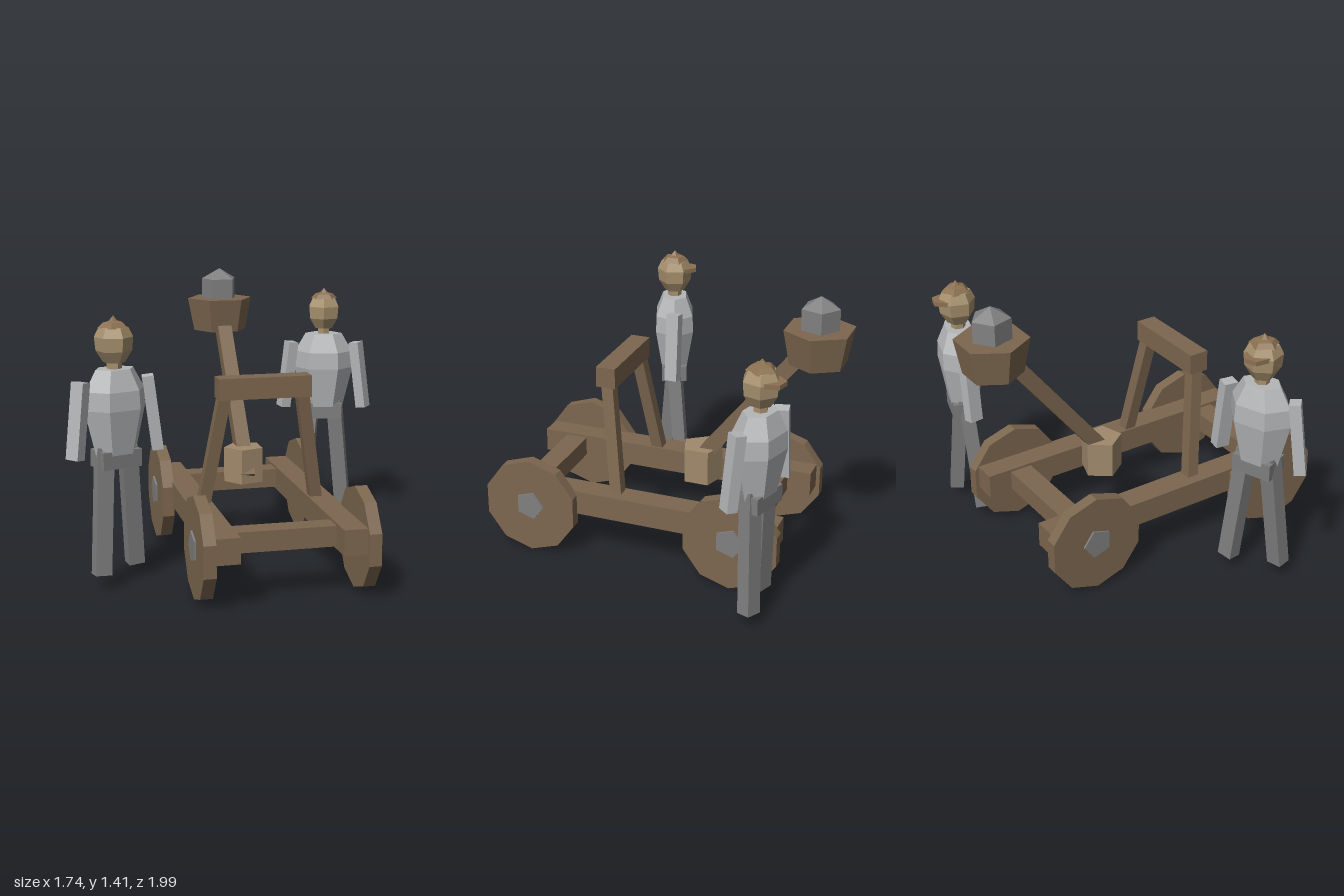
import * as THREE from 'three';

const mat = (name, color) => Object.assign(new THREE.MeshStandardMaterial({ color, flatShading: true }), { name });

export function createModel() {
  const M = {
    wood: mat('wood', 0x7d674f),
    paleWood: mat('pale wood', 0xa08a6c),
    stone: mat('stone', 0x818181),
    iron: mat('iron', 0x808080),
    shirt: mat('shirt', 0xb4b6b8),
    trousers: mat('trousers', 0x7e7e7e),
    skin: mat('skin', 0xa8926f),
    cap: mat('cap', 0x8c7152),
  };

  const add = (parent, name, geo, material, x = 0, y = 0, z = 0) => {
    const m = new THREE.Mesh(geo, material);
    m.name = name;
    m.position.set(x, y, z);
    parent.add(m);
    return m;
  };
  const box = (parent, name, material, w, h, d, x, y, z) =>
    add(parent, name, new THREE.BoxGeometry(w, h, d), material, x, y, z);

  // Square bar running from point a to point b
  const bar = (parent, name, material, a, b, w, d) => {
    const A = new THREE.Vector3(...a), B = new THREE.Vector3(...b);
    const m = add(parent, name, new THREE.BoxGeometry(w, A.distanceTo(B), d), material);
    m.position.copy(A).add(B).multiplyScalar(0.5);
    m.quaternion.setFromUnitVectors(new THREE.Vector3(0, 1, 0), B.sub(A).normalize());
    return m;
  };

  // Low-poly turned shape from [radius, height] pairs
  const turned = (points, sides, turn = 0) =>
    new THREE.LatheGeometry(points.map(p => new THREE.Vector2(...p)), sides, turn);

  const model = new THREE.Group();
  model.name = 'siegeEngineAndCrew';

  // Catapult: local +x is its forward direction
  const catapult = new THREE.Group();
  catapult.name = 'catapult';
  catapult.position.set(-0.003, 0, 0.047);
  catapult.rotation.y = -0.6154;
  model.add(catapult);

  for (const s of [-1, 1]) {
    box(catapult, 'sideBeam', M.wood, 1.5, 0.125, 0.125, 0, 0.288, s * 0.306);
    box(catapult, 'crossBeam', M.wood, 0.115, 0.1, 0.5, s * 0.57, 0.288, 0);
    bar(catapult, 'upright', M.wood, [0.1, 0.32, s * 0.29], [0.185, 0.92, s * 0.19], 0.06, 0.06);

    // Ten-sided wheels with five-sided iron hubs
    for (const e of [-1, 1]) {
      const wheel = add(catapult, 'wheel', new THREE.CylinderGeometry(0.25, 0.25, 0.06, 10), M.wood,
        e * 0.532, 0.25, s * 0.39);
      wheel.rotation.x = Math.PI / 2;
      const hub = add(catapult, 'wheelHub',
        new THREE.CylinderGeometry(0.077, 0.077, 0.075, 5, 1, false, Math.PI * 1.5), M.iron,
        e * 0.532, 0.255, s * 0.392);
      hub.rotation.x = Math.PI / 2;
    }
  }
  box(catapult, 'topBar', M.wood, 0.1, 0.105, 0.462, 0.185, 0.932, 0);

  // Throwing arm with counterblock, bucket and stone
  bar(catapult, 'throwingArm', M.wood, [-0.17, 0.39, 0], [-0.745, 1.12, 0], 0.075, 0.075);
  add(catapult, 'pivotBlock', new THREE.CylinderGeometry(0.105, 0.105, 0.18, 5), M.paleWood, -0.24, 0.45, 0);
  add(catapult, 'bucket', new THREE.CylinderGeometry(0.177, 0.143, 0.175, 6), M.wood, -0.82, 1.163, 0);
  add(catapult, 'stoneBall', new THREE.SphereGeometry(0.111, 5, 3), M.stone, -0.82, 1.3, 0);

  // Crew member: local +z is the facing direction
  const person = (name, x, z, heading) => {
    const p = new THREE.Group();
    p.name = name;
    p.position.set(x, 0, z);
    p.rotation.y = heading;
    model.add(p);

    const torso = add(p, 'torso',
      turned([[0, 0.63], [0.105, 0.63], [0.162, 0.86], [0.157, 0.95], [0.1, 1.05], [0, 1.05]], 6, Math.PI / 6),
      M.shirt);
    torso.scale.z = 0.72;
    box(p, 'hips', M.trousers, 0.205, 0.085, 0.135, 0, 0.62, 0);

    for (const s of [-1, 1]) {
      // The right foot steps forward and the left foot trails
      bar(p, 'leg', M.trousers, [s * 0.062, 0.675, 0], [s * 0.115, 0.067, s * -0.045], 0.07, 0.08);
      bar(p, 'arm', M.shirt, [s * 0.178, 1.0, 0], [s * 0.222, 0.637, -0.01], 0.055, 0.07);
    }

    add(p, 'neck', new THREE.CylinderGeometry(0.036, 0.036, 0.09, 6), M.skin, 0, 1.07, 0);
    add(p, 'head',
      turned([[0, 1.08], [0.052, 1.08], [0.086, 1.135], [0.092, 1.2], [0.07, 1.245], [0, 1.26]], 6), M.skin);
    add(p, 'capCrown', turned([[0.075, 1.243], [0.05, 1.268], [0.022, 1.275], [0, 1.3]], 5), M.cap);

    // Brim tapering toward its front edge
    const brim = new THREE.Shape([[-0.065, 0], [0.065, 0], [0.03, 0.065], [-0.03, 0.065]]
      .map(c => new THREE.Vector2(...c)));
    const peak = add(p, 'capBrim', new THREE.ExtrudeGeometry(brim, { depth: 0.022, bevelEnabled: false }),
      M.cap, 0, 1.21, 0.05);
    peak.rotation.x = Math.PI / 2;
  };
  person('frontCrewMember', -0.272, 0.742, -1.83);
  person('backCrewMember', -0.257, -0.825, -2.47);

  return model;
}
